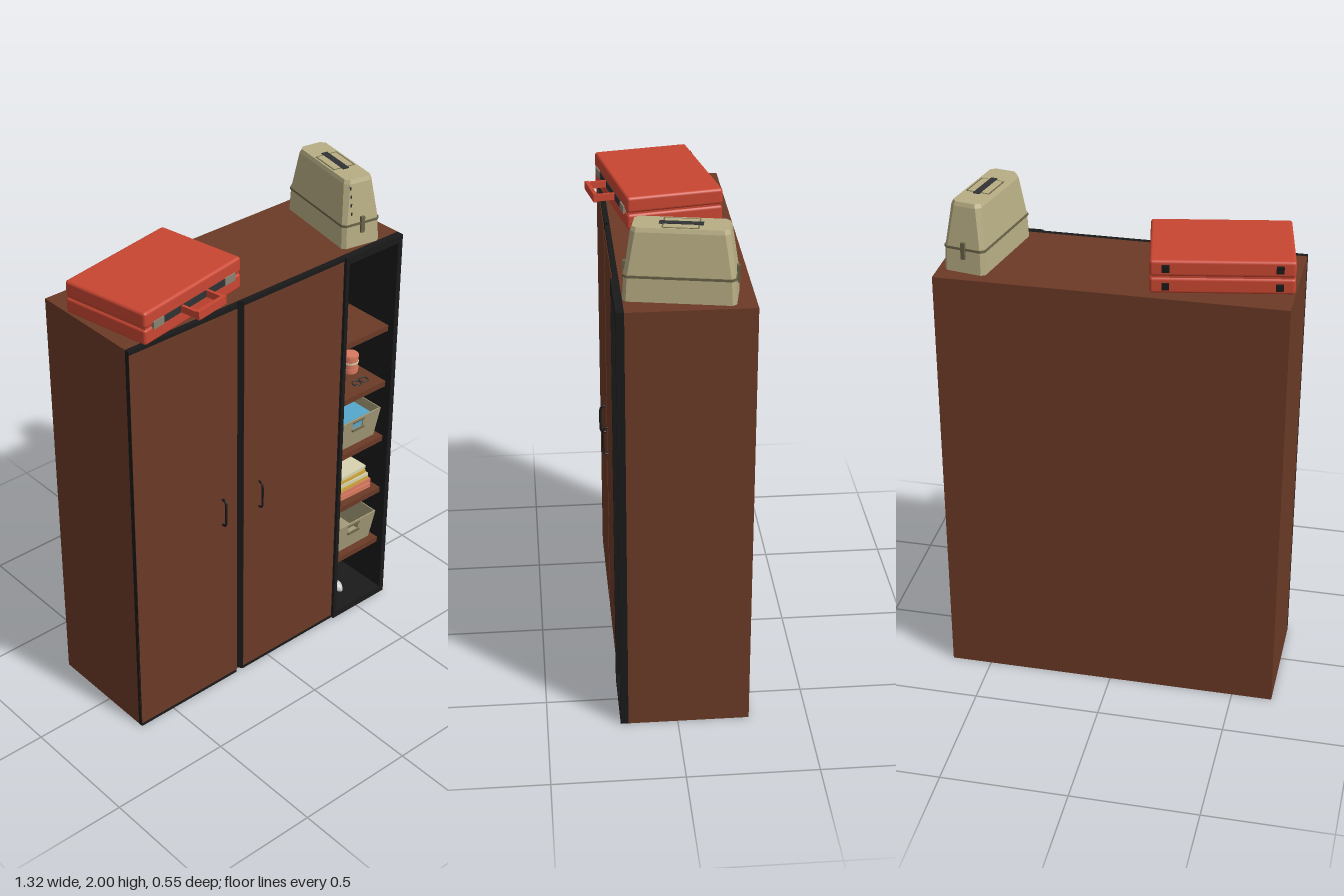
import * as THREE from 'three';
import { RoundedBoxGeometry } from 'three/addons/geometries/RoundedBoxGeometry.js';

const mat = (color, extra = {}) => {
  const m = new THREE.MeshStandardMaterial({ color });
  return Object.assign(m, extra);
};
const M = {
  wood: mat(0x6b3a26), black: mat(0x1a1a1a), red: mat(0xc94632), beige: mat(0xb8ad84, { flatShading: true }),
  trim: mat(0x6b6549), bin: mat(0xa39b78), metal: mat(0x8a8170), dark: mat(0x303234), glass: mat(0x35566a),
  coral: mat(0xd97a5f), cream: mat(0xd8d4b0), yellow: mat(0xd0a83c), blue: mat(0x55a8cc), purple: mat(0x9a5aa8),
  white: mat(0xd8d8d8),
};

function add(parent, name, geo, material, x = 0, y = 0, z = 0) {
  const mesh = new THREE.Mesh(geo, material);
  mesh.name = name;
  mesh.position.set(x, y, z);
  parent.add(mesh);
  return mesh;
}
// Box given by its extents
const slab = (p, name, m, x0, x1, y0, y1, z0, z1) =>
  add(p, name, new THREE.BoxGeometry(x1 - x0, y1 - y0, z1 - z0), m, (x0 + x1) / 2, (y0 + y1) / 2, (z0 + z1) / 2);

function group(parent, name, x, y, z, ry = 0) {
  const g = new THREE.Group();
  g.name = name;
  g.position.set(x, y, z);
  g.rotation.y = ry;
  parent.add(g);
  return g;
}

// Closed loft through chamfered rectangles [y, halfWidth, halfDepth, chamfer]
function loft(sections) {
  const pos = [], idx = [];
  for (const [y, w, d, c] of sections) {
    const ring = [[w, d - c], [w, c - d], [w - c, -d], [c - w, -d], [-w, c - d], [-w, d - c], [c - w, d], [w - c, d]];
    ring.forEach(([x, z]) => pos.push(x, y, z));
  }
  const n = sections.length;
  for (let s = 0; s < n - 1; s++) for (let i = 0; i < 8; i++) {
    const a = s * 8 + i, b = s * 8 + (i + 1) % 8;
    idx.push(a, b, b + 8, a, b + 8, a + 8);
  }
  const t = (n - 1) * 8;
  for (let i = 1; i < 7; i++) idx.push(0, i + 1, i, t, t + i, t + i + 1);
  const g = new THREE.BufferGeometry();
  g.setAttribute('position', new THREE.Float32BufferAttribute(pos, 3));
  g.setIndex(idx);
  const flat = g.toNonIndexed();
  flat.computeVertexNormals();
  return flat;
}

// Open storage bin with sloping walls and a grip hole at the front
function makeBin(parent, name, y) {
  const g = group(parent, name, 0.51, y, 0.02);
  const h = 0.135, flare = 0.018, w = 0.105, d = 0.14;
  const wall = (half, hole) => {
    const s = new THREE.Shape([[-half, 0], [half, 0], [half + flare, h], [-half - flare, h]].map(p => new THREE.Vector2(...p)));
    if (hole) s.holes.push(new THREE.Path([[-0.028, 0.085], [-0.028, 0.12], [0.028, 0.12], [0.028, 0.085]].map(p => new THREE.Vector2(...p))));
    return new THREE.ExtrudeGeometry(s, { depth: 0.005, bevelEnabled: false }).translate(0, 0, -0.005).rotateX(Math.atan(flare / h));
  };
  for (let i = 0; i < 4; i++) {
    const side = i % 2, a = i * Math.PI / 2, r = side ? w : d;
    add(g, 'binWall', wall(side ? d : w, i === 0), M.bin, Math.sin(a) * r, 0, Math.cos(a) * r).rotation.y = a;
  }
  slab(g, 'binFloor', M.bin, -w, w, 0, 0.005, -d, d);
  // Frame around the grip hole
  for (const yy of [0.083, 0.122]) slab(g, 'gripRim', M.trim, -0.032, 0.032, yy - 0.003, yy + 0.003, 0.151, 0.16);
  return g;
}

function makeCabinet(root) {
  const g = group(root, 'cabinet', 0, 0, 0);
  const H = 1.735;
  // Carcass: solid closed part and panels around the open niche
  slab(g, 'carcass', M.wood, -0.66, 0.37, 0, H, -0.275, 0.19);
  slab(g, 'rightSide', M.wood, 0.65, 0.66, 0, H, -0.275, 0.19);
  slab(g, 'nicheTop', M.wood, 0.37, 0.65, H - 0.01, H, -0.275, 0.19);
  slab(g, 'nicheBottom', M.wood, 0.37, 0.65, 0, 0.01, -0.275, 0.19);
  slab(g, 'nicheBack', M.wood, 0.37, 0.65, 0.01, H - 0.01, -0.275, -0.265);
  // Black niche lining
  slab(g, 'liningBack', M.black, 0.37, 0.65, 0.01, H - 0.01, -0.265, -0.255);
  slab(g, 'liningLeft', M.black, 0.37, 0.382, 0.01, H - 0.01, -0.255, 0.19);
  slab(g, 'liningRight', M.black, 0.638, 0.65, 0.01, H - 0.01, -0.255, 0.19);
  slab(g, 'liningFloor', M.black, 0.382, 0.638, 0.01, 0.03, -0.255, 0.19);
  slab(g, 'liningTop', M.black, 0.382, 0.638, H - 0.03, H - 0.01, -0.255, 0.19);
  // Niche front frame
  const frame = new THREE.Shape([[0.365, 0], [0.66, 0], [0.66, H], [0.365, H]].map(p => new THREE.Vector2(...p)));
  frame.holes.push(new THREE.Path([[0.382, 0.03], [0.382, H - 0.03], [0.638, H - 0.03], [0.638, 0.03]].map(p => new THREE.Vector2(...p))));
  add(g, 'nicheFrame', new THREE.ExtrudeGeometry(frame, { depth: 0.03, bevelEnabled: false }), M.black, 0, 0, 0.19);
  for (const y of [0.27, 0.53, 0.79, 1.055, 1.315]) slab(g, 'shelf', M.wood, 0.382, 0.638, y - 0.0125, y + 0.0125, -0.255, 0.19);

  // Doors: black slabs with bevelled meeting edges and wooden faces
  const door = (name, outline, x0, x1, hx, r) => {
    const s = new THREE.Shape(outline.map(([x, z]) => new THREE.Vector2(x, -z)));
    add(g, name, new THREE.ExtrudeGeometry(s, { depth: H, bevelEnabled: false }).rotateX(-Math.PI / 2), M.black);
    slab(g, name + 'Face', M.wood, x0, x1, 0.016, 1.719, 0.205, 0.212);
    const path = new THREE.CatmullRomCurve3([[0.79, 0.205], [0.793, 0.226], [0.81, 0.233], [0.89, 0.233], [0.907, 0.226], [0.91, 0.205]]
      .map(([y, z]) => new THREE.Vector3(hx, y, z)), false, 'catmullrom', 0.3);
    add(g, name + 'Handle', new THREE.TubeGeometry(path, 32, r, 8), M.black);
  };
  door('leftDoor', [[-0.66, 0.19], [-0.15, 0.19], [-0.167, 0.21], [-0.66, 0.21]], -0.66, -0.167, -0.24, 0.005);
  door('rightDoor', [[-0.15, 0.19], [0.365, 0.19], [0.365, 0.21], [-0.133, 0.21]], -0.133, 0.36, -0.055, 0.004);
}

function makeSuitcase(root) {
  const g = group(root, 'suitcase', -0.368, 1.735, -0.01, 0.18);
  for (const y of [0.0315, 0.0985]) add(g, 'suitcaseShell', new RoundedBoxGeometry(0.526, 0.063, 0.375, 3, 0.012), M.red, 0, y, 0);
  slab(g, 'seam', M.red, -0.257, 0.257, 0.05, 0.08, -0.182, 0.182);
  // Lock strip with latches
  slab(g, 'lockStrip', M.dark, -0.22, 0.22, 0.053, 0.08, 0.18, 0.19);
  for (const s of [-1, 1]) {
    slab(g, 'latch', M.metal, s * 0.195 - 0.028, s * 0.195 + 0.028, 0.052, 0.082, 0.18, 0.193);
    for (const y of [0.03, 0.1]) slab(g, 'hinge', M.black, s * 0.205 - 0.014, s * 0.205 + 0.014, y - 0.013, y + 0.013, -0.196, -0.18);
    slab(g, 'handleArm', M.red, s * 0.069 - 0.006, s * 0.069 + 0.006, 0.053, 0.08, 0.185, 0.265);
  }
  slab(g, 'handleGrip', M.red, -0.075, 0.075, 0.05, 0.083, 0.257, 0.272);
}

function makeCarryCase(root) {
  const g = group(root, 'carryCase', 0.519, 1.735, -0.019, -0.186);
  add(g, 'caseBody', loft([[0, 0.083, 0.2, 0.014], [0.092, 0.08, 0.195, 0.014], [0.25, 0.061, 0.173, 0.018], [0.265, 0.055, 0.167, 0.016]]), M.beige);
  add(g, 'caseBelt', loft([[0.088, 0.083, 0.198, 0.014], [0.097, 0.083, 0.198, 0.014]]), M.trim);
  // Top handle on its plate
  slab(g, 'handlePlate', M.trim, -0.048, 0.048, 0.262, 0.2655, -0.065, 0.065);
  slab(g, 'handlePlateInset', M.beige, -0.042, 0.042, 0.262, 0.266, -0.06, 0.06);
  slab(g, 'topHandle', M.dark, -0.013, 0.013, 0.262, 0.268, -0.077, 0.077);
  // Front and back clasps, vent marks along the lid
  for (const s of [-1, 1]) slab(g, 'clasp', M.trim, -0.008, 0.008, 0.055, 0.12, s * 0.199 - 0.006, s * 0.199 + 0.006);
  for (let i = 0; i < 4; i++) {
    const y = 0.13 + i * 0.033;
    slab(g, 'vent', M.dark, -0.046, -0.04, y, y + 0.012, 0.17, 0.1955 - (y - 0.092) * 0.139);
  }
}

function makeContents(root) {
  const g = group(root, 'shelfContents', 0, 0, 0);
  // Bottle
  const profile = [[0, 0], [0.027, 0], [0.028, 0.01], [0.028, 0.08], [0.018, 0.105], [0.012, 0.125], [0.012, 0.155], [0, 0.155]];
  add(g, 'bottle', new THREE.LatheGeometry(profile.map(p => new THREE.Vector2(...p)), 20), M.glass, 0.43, 1.0675, 0.02);
  // Two small jars
  for (const x of [0.412, 0.452]) add(g, 'smallJar', new THREE.CylinderGeometry(0.014, 0.016, 0.04, 16), M.dark, x, 1.0875, 0.1);
  // Banded tin
  add(g, 'tin', new THREE.CylinderGeometry(0.032, 0.032, 0.08, 24), M.coral, 0.585, 1.1075, 0.04);
  [1.085, 1.115, 1.14].forEach((y, i) => add(g, 'tinBand', new THREE.CylinderGeometry(0.034, 0.034, 0.007, 24), i === 1 ? M.cream : M.coral, 0.585, y, 0.04));
  // Loose rings
  for (const x of [0.535, 0.575]) add(g, 'ring', new THREE.TorusGeometry(0.018, 0.003, 6, 20).rotateX(Math.PI / 2), M.dark, x, 1.071, 0.13);

  const upper = makeBin(g, 'upperBin', 0.8025);
  slab(upper, 'foldedCloth', M.blue, -0.09, 0.09, 0.07, 0.115, -0.12, 0.13);
  slab(upper, 'purpleCloth', M.purple, -0.085, 0.03, 0.03, 0.07, -0.11, 0.13);
  makeBin(g, 'lowerBin', 0.2825);

  // Book stack
  const colors = [M.coral, M.coral, M.yellow, M.cream, M.yellow, M.cream];
  let y = 0.5425;
  colors.forEach((m, i) => {
    const h = i === 0 ? 0.022 : 0.0155, w = 0.104 - i * 0.004;
    add(g, 'book', new THREE.BoxGeometry(w * 2, h - 0.001, 0.26 - i * 0.008), m, 0.512 + (i % 2 ? 0.004 : -0.003), y + h / 2, 0.03).rotation.y = (i % 3 - 1) * 0.03;
    y += h;
  });

  // Pair of shoes
  for (const [x, ry] of [[0.44, -0.3], [0.5, -0.15]]) {
    const shoe = group(g, 'shoe', x, 0.03, 0.07, ry);
    add(shoe, 'sole', new THREE.CylinderGeometry(1, 1, 0.008, 24).scale(0.024, 1, 0.07), M.white, 0, 0.004, 0);
    add(shoe, 'toe', new THREE.SphereGeometry(1, 20, 8, 0, Math.PI * 2, 0, Math.PI / 2).scale(0.022, 0.022, 0.035), M.white, 0, 0.008, 0.03);
    add(shoe, 'heelRim', new THREE.TorusGeometry(0.02, 0.005, 8, 20).rotateX(Math.PI / 2).scale(1, 2, 1.4), M.white, 0, 0.016, -0.035);
  }
}

export function createModel() {
  const root = new THREE.Group();
  root.name = 'wardrobe';
  makeCabinet(root);
  makeSuitcase(root);
  makeCarryCase(root);
  makeContents(root);
  return root;
}
